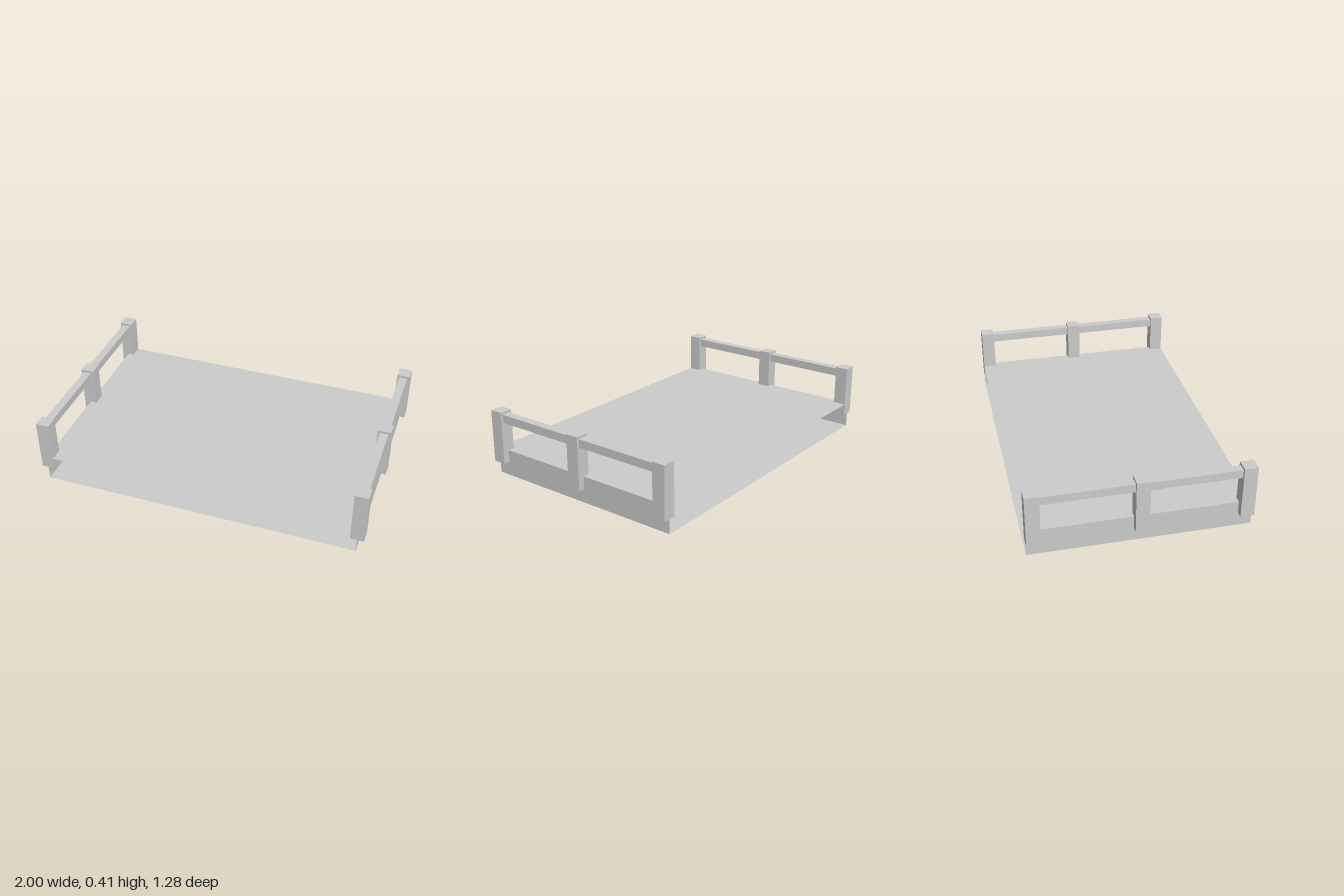
import * as THREE from 'three';

export function createModel() {
  const model = new THREE.Group();
  const material = new THREE.MeshStandardMaterial({ color: 0xcccccc });
  const shellMaterial = new THREE.MeshStandardMaterial({ color: 0xcccccc, side: THREE.DoubleSide });

  const sideX = 0.96; // centre line of the posts and edge of the deck
  const postSize = 0.08;

  function addBox(parent, name, size, position) {
    const mesh = new THREE.Mesh(new THREE.BoxGeometry(...size), material);
    mesh.name = name;
    mesh.position.set(...position);
    parent.add(mesh);
  }

  // Deck: thin shell with top, bottom and side walls, open at front and back
  const deckGeometry = new THREE.BoxGeometry(2 * sideX, 0.16, 1.28);
  deckGeometry.setIndex(Array.from(deckGeometry.index.array).slice(0, 24));
  deckGeometry.clearGroups();
  const deck = new THREE.Mesh(deckGeometry, shellMaterial);
  deck.name = 'deck';
  deck.position.y = 0.08;
  model.add(deck);

  // Railings: three posts joined by a top rail on each side
  for (const side of [1, -1]) {
    const railing = new THREE.Group();
    railing.name = side > 0 ? 'leftRailing' : 'rightRailing';
    for (const z of [-0.6, 0, 0.6]) {
      addBox(railing, 'post', [postSize, 0.32, postSize], [side * sideX, 0.245, z]);
    }
    addBox(railing, 'rail', [0.05, 0.05, 1.2], [side * sideX, 0.365, 0]);
    model.add(railing);
  }

  return model;
}
